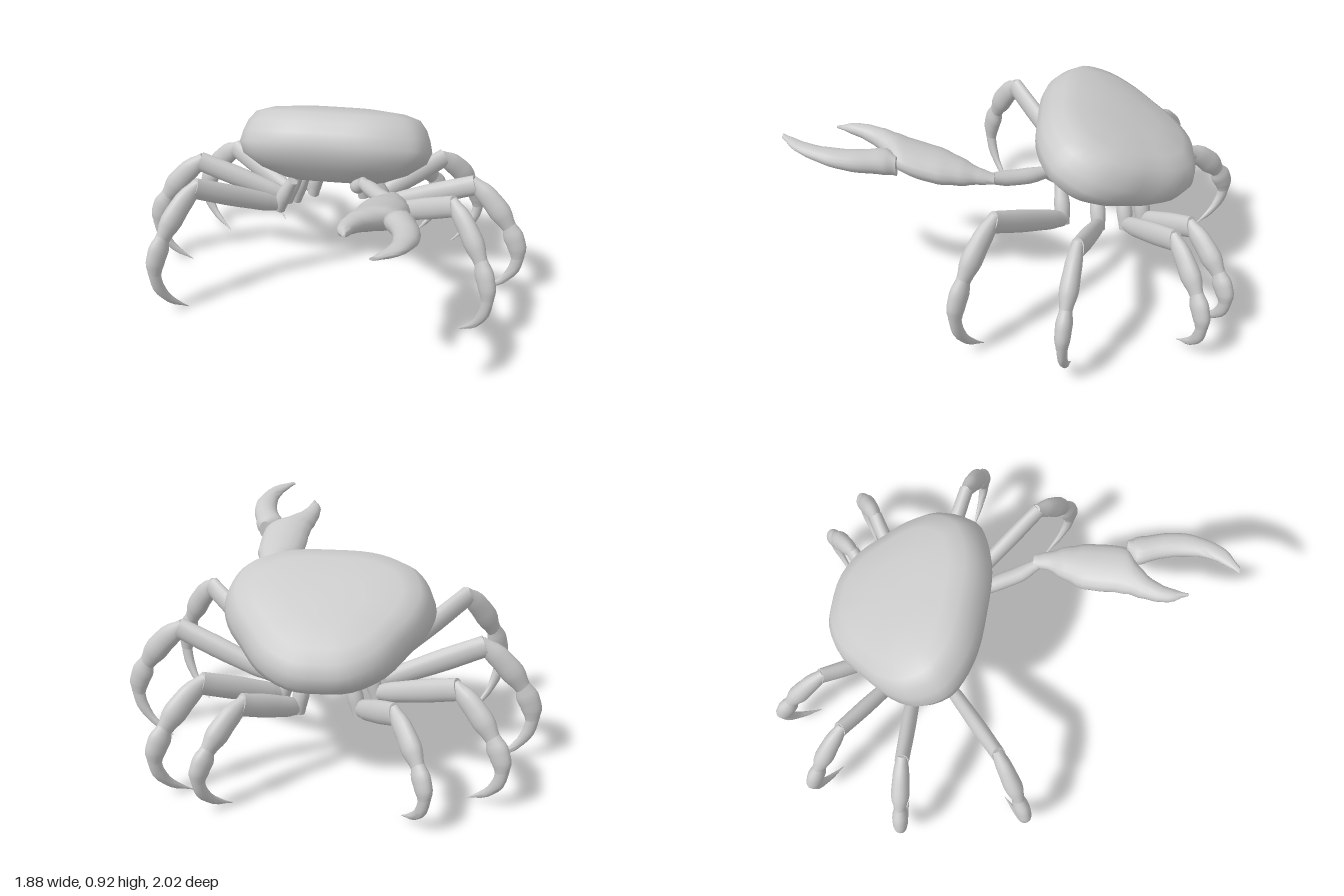
import * as THREE from 'three';
import { toCreasedNormals } from 'three/addons/utils/BufferGeometryUtils.js';

const material = new THREE.MeshStandardMaterial({ color: 0xcccccc });
const V = (x, y, z) => new THREE.Vector3(x, y, z);

// Skin a list of closed rings (equal point counts) and cap both ends.
function skin(rings, name) {
  const count = rings[0].length;
  const centre = ring => {
    const c = ring.reduce((s, p) => s.add(p), V(0, 0, 0)).divideScalar(count);
    return ring.map(() => c);
  };
  const all = [centre(rings[0]), ...rings, centre(rings[rings.length - 1])];
  const index = [];
  for (let i = 0; i < all.length - 1; i++) {
    for (let j = 0; j < count; j++) {
      const k = (j + 1) % count;
      const a = i * count + j, b = i * count + k;
      const c = a + count, d = b + count;
      index.push(a, b, d, a, d, c);
    }
  }
  const geometry = new THREE.BufferGeometry().setFromPoints(all.flat());
  geometry.setIndex(index);
  const mesh = new THREE.Mesh(toCreasedNormals(geometry, 0.9), material);
  mesh.name = name;
  return mesh;
}

// Oval limb along a spine. sizes: [half width along side, half height].
function limb(name, points, sizes, side, fixedTangent, steps = 3) {
  const curve = new THREE.CatmullRomCurve3(points);
  const last = points.length - 1, total = last * steps, rings = [];
  for (let i = 0; i <= total; i++) {
    const t = i / total, k = Math.min(Math.floor(i / steps), last - 1), f = i / steps - k;
    const s = f * f * (3 - 2 * f);
    const a = THREE.MathUtils.lerp(sizes[k][0], sizes[k + 1][0], s);
    const b = THREE.MathUtils.lerp(sizes[k][1], sizes[k + 1][1], s);
    const tangent = fixedTangent || curve.getTangent(t);
    const across = side.clone().addScaledVector(tangent, -side.dot(tangent)).normalize();
    const normal = tangent.clone().cross(across);
    const p = curve.getPoint(t), ring = [];
    for (let j = 0; j < 16; j++) {
      const q = (j / 16) * Math.PI * 2;
      ring.push(p.clone().addScaledVector(across, a * Math.cos(q)).addScaledVector(normal, b * Math.sin(q)));
    }
    rings.push(ring);
  }
  return skin(rings, name);
}

// Shell: a rounded outline stacked in layers and tilted nose up.
function makeShell() {
  const half = [[0.44, 0.985], [0.73, 0.92], [0.91, 0.83], [1, 0.65], [0.93, 0.47], [0.77, 0.31], [0.58, 0.14], [0.29, 0.02]];
  const outline = [[0, 1], ...half, [0, 0], ...half.slice().reverse().map(([x, v]) => [-x, v])];
  const loop = new THREE.CatmullRomCurve3(outline.map(([x, v]) => V(x, v, 0)), true).getPoints(54).slice(0, -1);
  // height, rear, front, half width
  const layers = [
    [-0.212, -0.08, 0.17, 0.19], [-0.2, -0.13, 0.21, 0.24], [-0.16, -0.2, 0.27, 0.35], [-0.1, -0.3, 0.35, 0.44],
    [-0.045, -0.365, 0.37, 0.463], [0.01, -0.388, 0.371, 0.45], [0.06, -0.372, 0.35, 0.43],
    [0.105, -0.335, 0.318, 0.395], [0.13, -0.27, 0.25, 0.32], [0.146, -0.14, 0.13, 0.17]
  ];
  const rings = layers.map(([w, rear, front, wide]) =>
    loop.map(p => V(p.x * wide, w, rear + (front - rear) * p.y)));
  const shell = skin(rings, 'shell');
  shell.rotation.x = -0.436;
  shell.position.set(0, 0.69, -0.43);
  return shell;
}

// Walking leg bending in one vertical plane, from root to knee and down to the tip.
function makeLeg(name, root, knee) {
  const leg = new THREE.Group();
  leg.name = name;
  const out = V(knee.x - root.x, 0, knee.z - root.z).normalize();
  const side = V(-out.z, 0, out.x);
  const h = knee.y, at = (r, y) => V(knee.x + out.x * r, y * h, knee.z + out.z * r);
  const hip = V(root.x * 0.72, root.y + 0.14, root.z + 0.02);
  const along = t => root.clone().lerp(knee, t);
  leg.add(
    limb('hip', [hip, hip.clone().lerp(root, 0.6), root.clone().add(V(0, -0.025, 0))],
      [[0.025, 0.025], [0.036, 0.036], [0.028, 0.03]], side),
    limb('thigh', [along(0), along(0.2), along(0.6), along(1)],
      [[0.026, 0.034], [0.032, 0.046], [0.035, 0.052], [0.032, 0.05]], side),
    limb('knee', [at(-0.025, 1.03), at(0.05, 0.92), at(0.12, 0.78), at(0.17, 0.65)],
      [[0.024, 0.03], [0.037, 0.05], [0.042, 0.054], [0.027, 0.036]], side),
    limb('shin', [at(0.165, 0.68), at(0.193, 0.57), at(0.215, 0.47), at(0.222, 0.37)],
      [[0.026, 0.032], [0.036, 0.05], [0.034, 0.046], [0.025, 0.032]], side),
    limb('toe', [at(0.225, 0.4), at(0.208, 0.26), at(0.152, 0.12), at(0.06, 0.01)],
      [[0.023, 0.03], [0.021, 0.028], [0.013, 0.018], [0.002, 0.002]], side)
  );
  return leg;
}

// Single large claw on the left, with its arm.
function makeClaw() {
  const claw = new THREE.Group();
  claw.name = 'claw';
  const X = V(1, 0, 0), Z = V(0, 0, 1);
  // x, y, z, half width, half height
  const section = (name, rows) => limb(name, rows.map(r => V(r[0], r[1], r[2])), rows.map(r => [r[3], r[4]]), X, Z);
  claw.add(
    limb('armBase', [V(0.11, 0.55, -0.2), V(0.13, 0.57, -0.16), V(0.16, 0.61, -0.12)],
      [[0.025, 0.025], [0.035, 0.035], [0.028, 0.028]], X),
    limb('arm', [V(0.15, 0.6, -0.14), V(0.21, 0.61, -0.05), V(0.26, 0.625, 0.04), V(0.31, 0.65, 0.11)],
      [[0.025, 0.028], [0.037, 0.036], [0.037, 0.034], [0.026, 0.025]], X),
    section('palm', [
      [0.32, 0.655, 0.09, 0.03, 0.022], [0.325, 0.67, 0.16, 0.044, 0.035], [0.32, 0.687, 0.24, 0.08, 0.055],
      [0.31, 0.705, 0.33, 0.11, 0.066], [0.305, 0.728, 0.42, 0.114, 0.066], [0.295, 0.755, 0.5, 0.11, 0.06],
      [0.25, 0.77, 0.56, 0.073, 0.052], [0.21, 0.785, 0.63, 0.048, 0.04], [0.19, 0.8, 0.71, 0.033, 0.028],
      [0.2, 0.815, 0.795, 0.006, 0.006]
    ]),
    section('movableFinger', [
      [0.41, 0.755, 0.5, 0.03, 0.045], [0.395, 0.768, 0.55, 0.068, 0.054], [0.427, 0.785, 0.65, 0.06, 0.047],
      [0.441, 0.803, 0.75, 0.054, 0.038], [0.429, 0.82, 0.85, 0.042, 0.028], [0.397, 0.833, 0.93, 0.038, 0.018],
      [0.34, 0.842, 1, 0.016, 0.008]
    ])
  );
  return claw;
}

export function createModel() {
  const crab = new THREE.Group();
  crab.name = 'crab';
  crab.add(makeShell(), makeClaw());
  // name, root, knee
  const legs = [
    ['rightFrontLeg', V(-0.26, 0.42, -0.21), V(-0.6, 0.62, 0.08)],
    ['leftFrontLeg', V(0.26, 0.42, -0.21), V(0.6, 0.62, 0.075)],
    ['rightSecondLeg', V(-0.25, 0.39, -0.365), V(-0.68, 0.56, -0.34)],
    ['leftSecondLeg', V(0.25, 0.39, -0.37), V(0.68, 0.56, -0.285)],
    ['rightThirdLeg', V(-0.22, 0.36, -0.44), V(-0.57, 0.5, -0.65)],
    ['leftThirdLeg', V(0.19, 0.36, -0.49), V(0.5, 0.5, -0.7)],
    ['rightRearLeg', V(-0.15, 0.34, -0.56), V(-0.32, 0.45, -0.8)],
    ['leftRearLeg', V(0.11, 0.34, -0.57), V(0.32, 0.45, -0.78)]
  ];
  for (const [name, root, knee] of legs) crab.add(makeLeg(name, root, knee));
  return crab;
}
